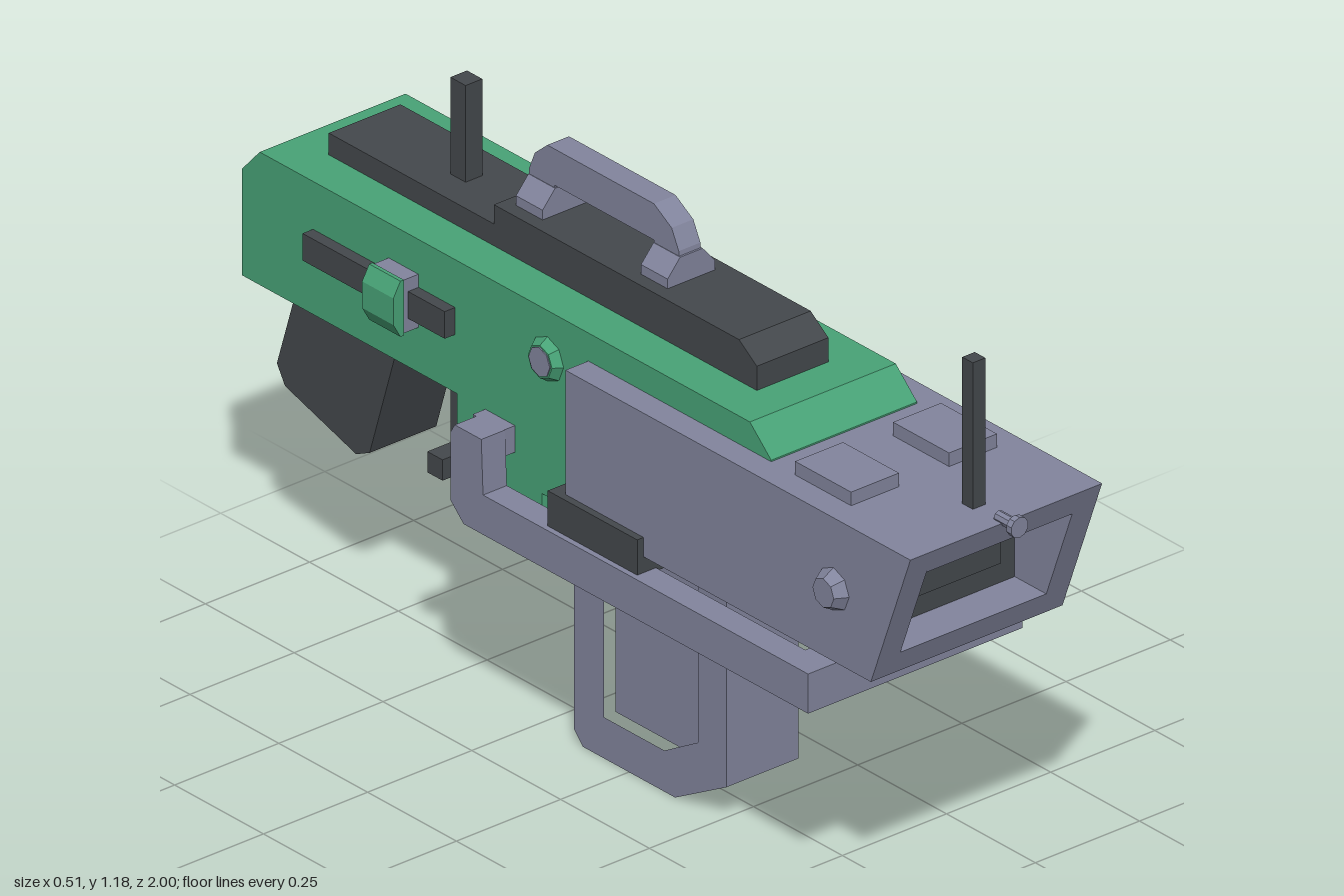
import * as THREE from 'three';

const mat = (name, color) => {
  const m = new THREE.MeshStandardMaterial({ color, flatShading: true });
  m.name = name;
  return m;
};

export function createModel() {
  const gray = mat('steel gray', 0x82859d);
  const green = mat('green', 0x48a377);
  const dark = mat('charcoal', 0x44484c);
  const cyan = mat('cyan', 0x35b5c8);
  const model = new THREE.Group();

  const add = (name, geometry, material, x = 0, y = 0, z = 0) => {
    const mesh = new THREE.Mesh(geometry, material);
    mesh.name = name;
    mesh.position.set(x, y, z);
    model.add(mesh);
    return mesh;
  };
  const toShape = pts => new THREE.Shape(pts.map(p => new THREE.Vector2(p[0], p[1])));
  // box given by its limits on each axis
  const box = (name, m, x0, x1, y0, y1, z0, z1) =>
    add(name, new THREE.BoxGeometry(Math.abs(x1 - x0), y1 - y0, z1 - z0), m, (x0 + x1) / 2, (y0 + y1) / 2, (z0 + z1) / 2);
  // side profile of (z, y) points, extruded across x
  const prism = (name, m, pts, x0, x1, hole) => {
    const shape = toShape(pts);
    if (hole) shape.holes.push(new THREE.Path(hole.map(p => new THREE.Vector2(p[0], p[1]))));
    const w = Math.abs(x1 - x0);
    const g = new THREE.ExtrudeGeometry(shape, { depth: w, bevelEnabled: false });
    g.rotateY(-Math.PI / 2).translate(w / 2, 0, 0);
    return add(name, g, m, (x0 + x1) / 2);
  };
  // front profile of (x, y) points, extruded along z
  const slab = (name, m, pts, z0, z1) =>
    add(name, new THREE.ExtrudeGeometry(toShape(pts), { depth: z1 - z0, bevelEnabled: false }), m, 0, 0, z0);
  // sideways tapered disc with its base at x
  const disc = (name, m, s, x, y, z, r0, r1, h, sides = 8) => {
    const mesh = add(name, new THREE.CylinderGeometry(r1, r0, h, sides), m, s * (x + h / 2), y, z);
    mesh.rotation.z = -s * Math.PI / 2;
  };

  // main body
  prism('body', green, [[0.445, 0.935], [0.505, 0.88], [0.505, 0.58], [0.475, 0.55], [-0.14, 0.55], [-0.14, 0.51],
    [-0.38, 0.51], [-0.38, 0.66], [-0.985, 0.66], [-0.985, 0.88], [-0.935, 0.935]], -0.175, 0.175);
  prism('topRail', dark, [[0.36, 0.93], [0.36, 0.985], [0.31, 1.02], [-0.38, 1.02], [-0.38, 0.98],
    [-0.845, 0.98], [-0.845, 0.93]], -0.086, 0.086);

  // front housing with slanted open muzzle
  const slant = y => 0.85 + (y - 0.58) * 0.375;
  const wall = (name, y0, y1, x0, x1) =>
    prism(name, gray, [[-0.01, y0], [slant(y0), y0], [slant(y1), y1], [-0.01, y1]], x0, x1);
  wall('housingTop', 0.825, 0.877, -0.175, 0.175);
  wall('housingBottom', 0.58, 0.63, -0.175, 0.175);
  for (const s of [-1, 1]) wall('housingSide', 0.58, 0.877, s * 0.175, s * 0.23);
  box('muzzlePanel', dark, -0.175, 0.175, 0.63, 0.825, 0.72, 0.78);
  box('muzzleInset', dark, -0.117, 0.117, 0.69, 0.767, 0.78, 0.81);
  const pin = add('frontPin', new THREE.CylinderGeometry(0.012, 0.012, 0.05, 8), gray, 0, 0.88, 0.965);
  const pinHead = add('frontPinHead', new THREE.CylinderGeometry(0.021, 0.021, 0.014, 10), gray, 0, 0.88, 0.992);
  pin.rotation.x = pinHead.rotation.x = Math.PI / 2;

  // sight posts
  box('frontPost', dark, -0.015, 0.015, 0.87, 1.18, 0.855, 0.885);
  box('rearPost', dark, -0.02, 0.02, 0.43, 1.18, -0.58, -0.537);

  // carry handle
  prism('carryHandle', gray, [[0.075, 1.04], [0.07, 1.085], [0.05, 1.125], [0, 1.155], [-0.3, 1.155], [-0.335, 1.125],
    [-0.352, 1.085], [-0.352, 1.04], [-0.28, 1.04], [-0.28, 1.08], [0, 1.08], [0, 1.04]], -0.026, 0.026);
  for (const z of [0, -0.352])
    slab('handleFoot', gray, [[-0.057, 1.01], [0.057, 1.01], [0.057, 1.04], [0.027, 1.075], [-0.027, 1.075], [-0.057, 1.04]], z, z + 0.075);

  // magazine with sunken side pockets
  prism('magazine', gray, [[0.275, 0.08], [0.13, 0], [-0.13, 0], [-0.155, 0.027], [-0.155, 0.56], [0.275, 0.56]], -0.086, 0.086,
    [[0.195, 0.14], [0.1, 0.085], [-0.07, 0.085], [-0.07, 0.52], [0.195, 0.52]]);
  box('magazineCore', gray, -0.05, 0.05, 0.08, 0.53, -0.08, 0.2);
  box('glowCell', cyan, -0.06, 0.06, 0.505, 0.56, 0.3, 0.42);

  // grip, trigger guard and rear lever
  prism('grip', dark, [[-0.64, 0.67], [-0.925, 0.67], [-0.998, 0.44], [-0.975, 0.402], [-0.775, 0.342], [-0.737, 0.36]], -0.08, 0.08);
  prism('triggerGuard', gray, [[-0.47, 0.665], [-0.47, 0.6], [-0.515, 0.562], [-0.69, 0.562], [-0.69, 0.615],
    [-0.53, 0.615], [-0.53, 0.665]], -0.03, 0.03);
  box('rearLever', dark, -0.222, 0.03, 0.502, 0.545, -0.408, -0.365);

  // lower frame
  box('frameFront', gray, -0.2, 0.2, 0.465, 0.547, 0.63, 0.705);
  for (const s of [-1, 1]) {
    prism('frameRail', gray, [[0.705, 0.547], [-0.21, 0.547], [-0.215, 0.66], [-0.29, 0.66], [-0.302, 0.64], [-0.302, 0.5],
      [-0.265, 0.465], [0.705, 0.465]], s * 0.2, s * 0.257);
    box('frameArm', gray, s * 0.17, s * 0.205, 0.605, 0.66, -0.3, -0.216);
    box('frameMount', dark, s * 0.17, s * 0.245, 0.54, 0.62, -0.042, 0.21);

    // thin plates behind the magazine
    box('hingePlate', dark, s * 0.13, s * 0.137, 0.398, 0.53, -0.375, -0.14);
    for (const z of [-0.16, -0.358]) disc('plateRivet', gray, s, 0.135, 0.455, z, 0.012, 0.012, 0.014);

    // housing pads and side bolts
    box('housingPad', gray, s * 0.06, s * 0.175, 0.87, 0.905, 0.572, 0.73);
    disc('housingBolt', gray, s, 0.228, 0.73, 0.745, 0.045, 0.03, 0.027);
    disc('bodyBoltRing', green, s, 0.173, 0.835, -0.125, 0.047, 0.034, 0.02);
    disc('bodyBolt', gray, s, 0.175, 0.835, -0.125, 0.033, 0.03, 0.02);

    // side slider
    box('sliderTrack', dark, s * 0.17, s * 0.2, 0.78, 0.836, -0.785, -0.385);
    box('sliderBase', gray, s * 0.17, s * 0.212, 0.753, 0.863, -0.572, -0.488);
    slab('sliderKnob', green, [[s * 0.212, 0.75], [s * 0.22, 0.75], [s * 0.237, 0.78], [s * 0.237, 0.835],
      [s * 0.22, 0.865], [s * 0.212, 0.865]], -0.574, -0.486);
  }
  return model;
}
